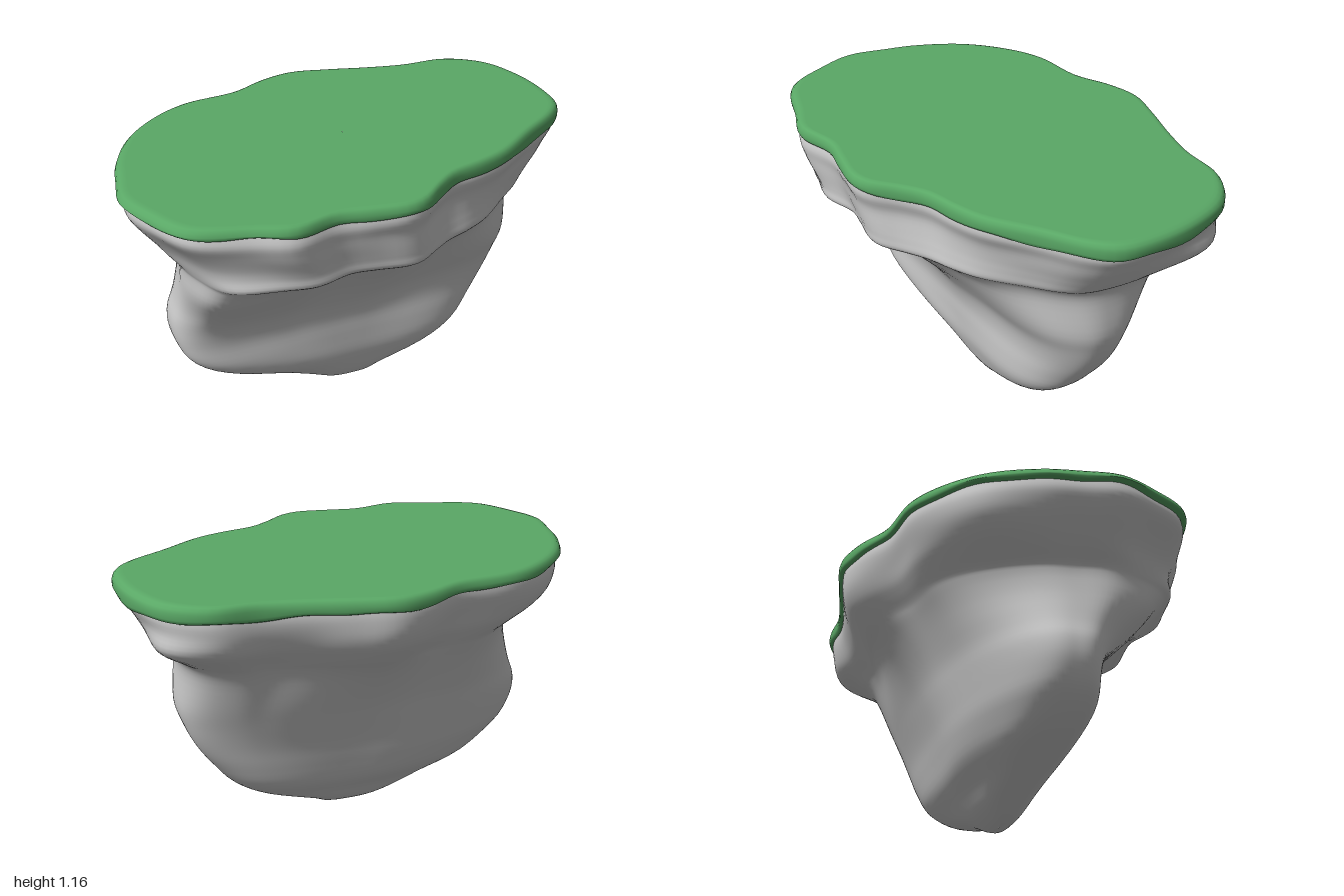
import * as THREE from 'three';

const SIDES = 144;
const { lerp, smoothstep, clamp } = THREE.MathUtils;

// Outline of the plateau as [x, z], running from +x towards +z
const OUTLINE = [
  [0.998, -0.08], [0.98, 0.07], [0.91, 0.16], [0.74, 0.275], [0.55, 0.41], [0.42, 0.46], [0.28, 0.5],
  [0.18, 0.57], [0.08, 0.655], [0, 0.68], [-0.15, 0.66], [-0.28, 0.64], [-0.47, 0.68], [-0.62, 0.63],
  [-0.85, 0.54], [-0.95, 0.36], [-1, 0.2], [-0.97, 0.03], [-0.93, -0.12], [-0.83, -0.31], [-0.68, -0.455],
  [-0.52, -0.54], [-0.28, -0.575], [-0.12, -0.65], [0.03, -0.685], [0.2, -0.65], [0.38, -0.6],
  [0.55, -0.565], [0.75, -0.555], [0.9, -0.45], [0.975, -0.27],
];

const rim = new THREE.CatmullRomCurve3(OUTLINE.map(([x, z]) => new THREE.Vector3(x, 0, z)), true)
  .getSpacedPoints(SIDES).slice(0, SIDES);

// Rock levels: [y, xMin, xMax, zMin, zMax, share of the plateau outline]
const LEVELS = [
  [1.13, -0.97, 0.97, -0.655, 0.66, 1],
  [1.08, -0.975, 0.975, -0.66, 0.67, 1],
  [1.02, -0.94, 0.94, -0.645, 0.65, 1],
  [0.95, -0.88, 0.9, -0.61, 0.635, 0.95],
  [0.9, -0.835, 0.87, -0.57, 0.625, 0.9],
  [0.855, -0.79, 0.83, -0.53, 0.615, 0.85],
  [0.82, -0.775, 0.79, -0.495, 0.55, 0.75],
  [0.75, -0.775, 0.77, -0.44, 0.45, 0.6],
  [0.6, -0.79, 0.775, -0.345, 0.315, 0.35],
  [0.5, -0.81, 0.745, -0.295, 0.235, 0.2],
  [0.4, -0.795, 0.695, -0.255, 0.197, 0.1],
  [0.3, -0.735, 0.625, -0.225, 0.19, 0.05],
  [0.2, -0.58, 0.54, -0.185, 0.18, 0],
  [0.12, -0.37, 0.41, -0.115, 0.152, 0],
  [0.05, -0.19, 0.19, -0.06, 0.12, 0],
  [0.01, -0.09, 0.11, 0, 0.085, 0],
  [0, 0.01, 0.012, 0.039, 0.041, 0],
];

// Local swellings and hollows: [x, z, y, height spread, angle spread, amount]
const LUMPS = [
  [0.88, -0.44, 0.95, 0.07, 0.28, 0.08], // overhanging corner
  [-0.85, -0.3, 0.97, 0.08, 0.35, 0.03], // opposite shoulder
  [-0.75, 0.45, 0.76, 0.14, 0.4, 0.07], // buttress under the front corner
  [0.85, 0.18, 0.87, 0.09, 0.45, -0.05], // ledge fading out
  [-0.1, 0.6, 0.61, 0.07, 0.45, -0.03], // hollow below the ledge
].map(([x, z, ...rest]) => [Math.atan2(z / 0.68, x), ...rest]);

// Smooth surface through closed rings ordered from top to bottom
function loft(rings) {
  const index = [];
  for (let i = 0; i < rings.length - 1; i++) {
    for (let j = 0; j < SIDES; j++) {
      const k = (j + 1) % SIDES;
      const a = i * SIDES + j, b = i * SIDES + k;
      index.push(a, b, a + SIDES, b, b + SIDES, a + SIDES);
    }
  }
  const geometry = new THREE.BufferGeometry();
  geometry.setAttribute('position', new THREE.Float32BufferAttribute(rings.flat(2), 3));
  geometry.setIndex(index);
  geometry.computeVertexNormals();
  return geometry;
}

// Smooth interpolation between the level rows
function levelAt(t) {
  const i = Math.min(Math.floor(t), LEVELS.length - 2);
  const f = t - i;
  const at = (n) => LEVELS[clamp(n, 0, LEVELS.length - 1)];
  return LEVELS[i].map((p, c) => {
    const q = at(i + 1)[c];
    const m0 = (q - at(i - 1)[c]) / 2, m1 = (at(i + 2)[c] - p) / 2;
    return (2 * f ** 3 - 3 * f * f + 1) * p + (f ** 3 - 2 * f * f + f) * m0
      + (3 * f * f - 2 * f ** 3) * q + (f ** 3 - f * f) * m1;
  });
}

// Relative swelling of the rock at an angle and height
function relief(a, y) {
  const fade = 0.014 * smoothstep(y, 0, 0.25) * smoothstep(1.13 - y, 0, 0.15) * Math.abs(Math.sin(a));
  let sum = 1 + fade * (Math.sin(a * 7 + y * 6) + Math.sin(a * 4 - y * 13 + 1));
  for (const [angle, height, dy, da, amount] of LUMPS) {
    const turn = Math.atan2(Math.sin(a - angle), Math.cos(a - angle));
    sum += amount * Math.exp(-((turn / da) ** 2) - ((y - height) / dy) ** 2);
  }
  return sum;
}

function rockRings() {
  const rings = [];
  const steps = 4;
  for (let s = 0; s <= (LEVELS.length - 1) * steps; s++) {
    const [y, x0, x1, z0, z1, w] = levelAt(s / steps);
    // Boxier section low down, rounder higher up
    const n = lerp(2.8, 2.4, smoothstep(y, 0.3, 0.8));
    // The right end of the lower rock bends forward
    const bend = 0.1 * smoothstep(y, 0.05, 0.3) * smoothstep(0.95 - y, 0, 0.25);
    rings.push(rim.map((p) => {
      const nx = p.x, nz = p.z / 0.68;
      const a = Math.atan2(nz, nx);
      const c = Math.cos(a), d = Math.sin(a);
      const r = (Math.abs(c) ** n + Math.abs(d) ** n) ** (-1 / n);
      const swell = relief(a, y);
      const u = lerp(c * r, nx, w) * swell;
      const v = lerp(d * r, nz, w) * swell;
      const z = (z0 + z1) / 2 + v * (z1 - z0) / 2 + bend * Math.max(0, -u) ** 1.7;
      return [(x0 + x1) / 2 + u * (x1 - x0) / 2, y, z];
    }));
  }
  return rings;
}

function grassRings() {
  // [scale, height of the even upper part or null, share of the wavy lower edge]
  const profile = [
    [0.001, 1.165, 0], [0.95, 1.165, 0], [0.965, 1.165, 0], [0.982, 1.161, 0], [0.994, 1.15, 0],
    [1, 1.135, 0], [1, null, 0.65], [0.994, null, 0.9], [0.98, null, 1], [0.94, null, 0.95],
  ];
  return profile.map(([s, h, drop]) => rim.map((p, j) => {
    const a = (j / SIDES) * Math.PI * 2;
    const edge = 1.105 - 0.018 * p.x + 0.004 * Math.sin(a * 9) + 0.004 * Math.sin(a * 17 + 1);
    return [p.x * s, h ?? lerp(1.145, edge, drop), p.z * s];
  }));
}

export function createModel() {
  const group = new THREE.Group();
  group.name = 'floatingIsland';

  // Tapering rock body
  const rock = new THREE.Mesh(loft(rockRings()), new THREE.MeshStandardMaterial({ color: 0xcccccc }));
  rock.name = 'rock';

  // Flat grass cap with a rounded, uneven lip
  const grass = new THREE.Mesh(loft(grassRings()), new THREE.MeshStandardMaterial({ color: 0x5aa866 }));
  grass.name = 'grass';

  group.add(rock, grass);
  return group;
}
